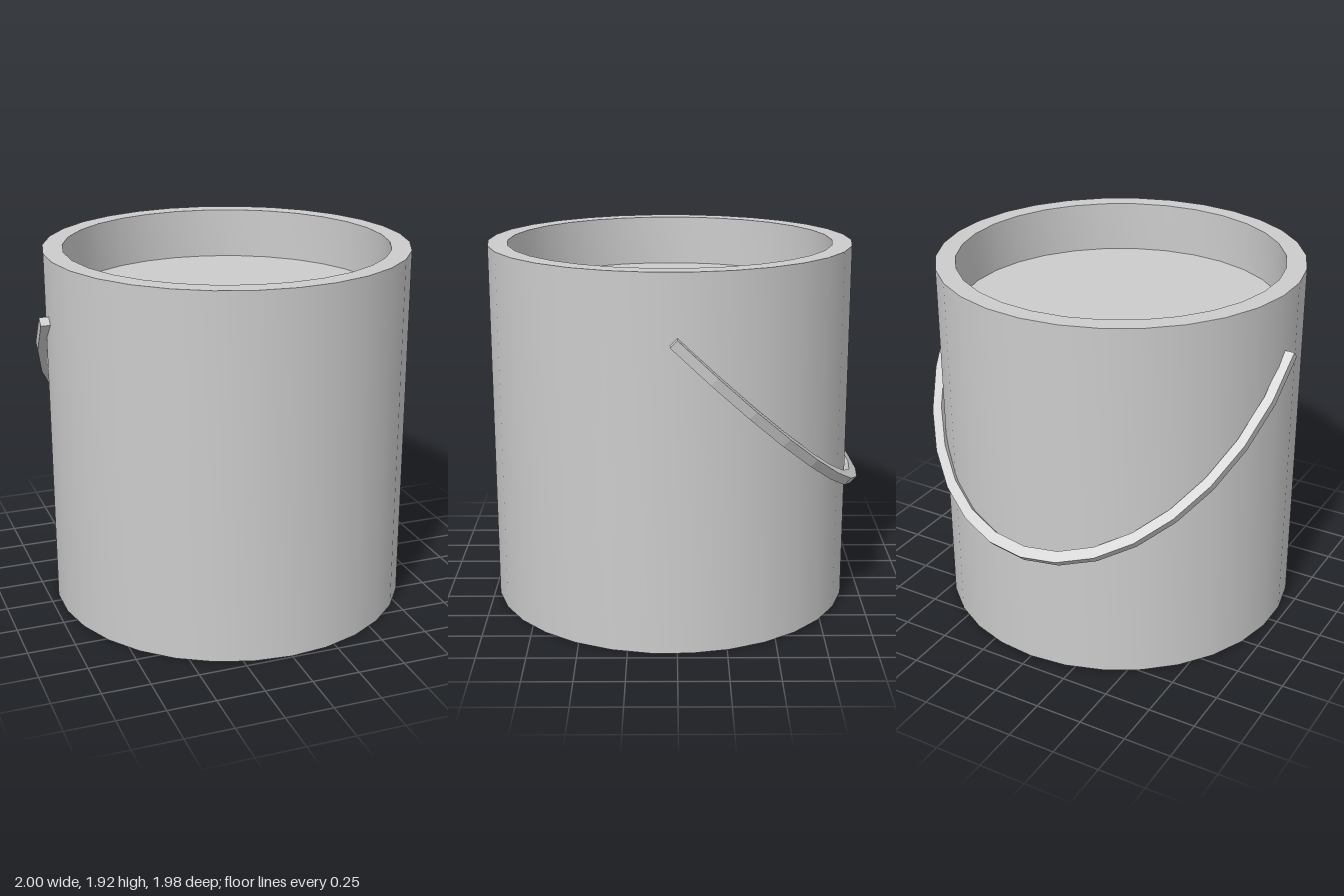
import * as THREE from 'three';
import { toCreasedNormals } from 'three/addons/utils/BufferGeometryUtils.js';

const material = new THREE.MeshStandardMaterial({ color: 0xcccccc });

// Thick-walled bucket, filled to just below the rim
function makeBucket() {
  const profile = [[0, 0], [0.955, 0], [0.955, 1.92], [0.852, 1.92], [0.852, 1.65], [0, 1.65]]
    .map(([r, y]) => new THREE.Vector2(r, y));
  const geometry = toCreasedNormals(new THREE.LatheGeometry(profile, 30), 0.6);
  const bucket = new THREE.Mesh(geometry, material);
  bucket.name = 'bucket';
  bucket.position.z = 0.035;
  return bucket;
}

// Half-ellipse bail, flat bar section, hanging down behind the bucket
function makeHandle() {
  const segments = 16;
  const arc = (rx, ry) => Array.from({ length: segments + 1 }, (_, i) => {
    const a = (i / segments) * Math.PI;
    return new THREE.Vector2(rx * Math.cos(a), ry * Math.sin(a));
  });
  const shape = new THREE.Shape([...arc(1, 1.375), ...arc(0.95, 1.316).reverse()]);
  const geometry = new THREE.ExtrudeGeometry(shape, { depth: 0.05, bevelEnabled: false });

  // Local y runs down the slope, local z is the bar's upper normal
  const across = new THREE.Vector3(1, 0, 0);
  const slope = new THREE.Vector3(0, -0.695, -0.718).normalize();
  const normal = new THREE.Vector3().crossVectors(across, slope);
  geometry.applyMatrix4(new THREE.Matrix4().makeBasis(across, slope, normal).setPosition(0, 1.573, 0.035));

  const handle = new THREE.Mesh(geometry, material);
  handle.name = 'handle';
  return handle;
}

export function createModel() {
  const model = new THREE.Group();
  model.name = 'bucketWithHandle';
  model.add(makeBucket(), makeHandle());
  return model;
}
